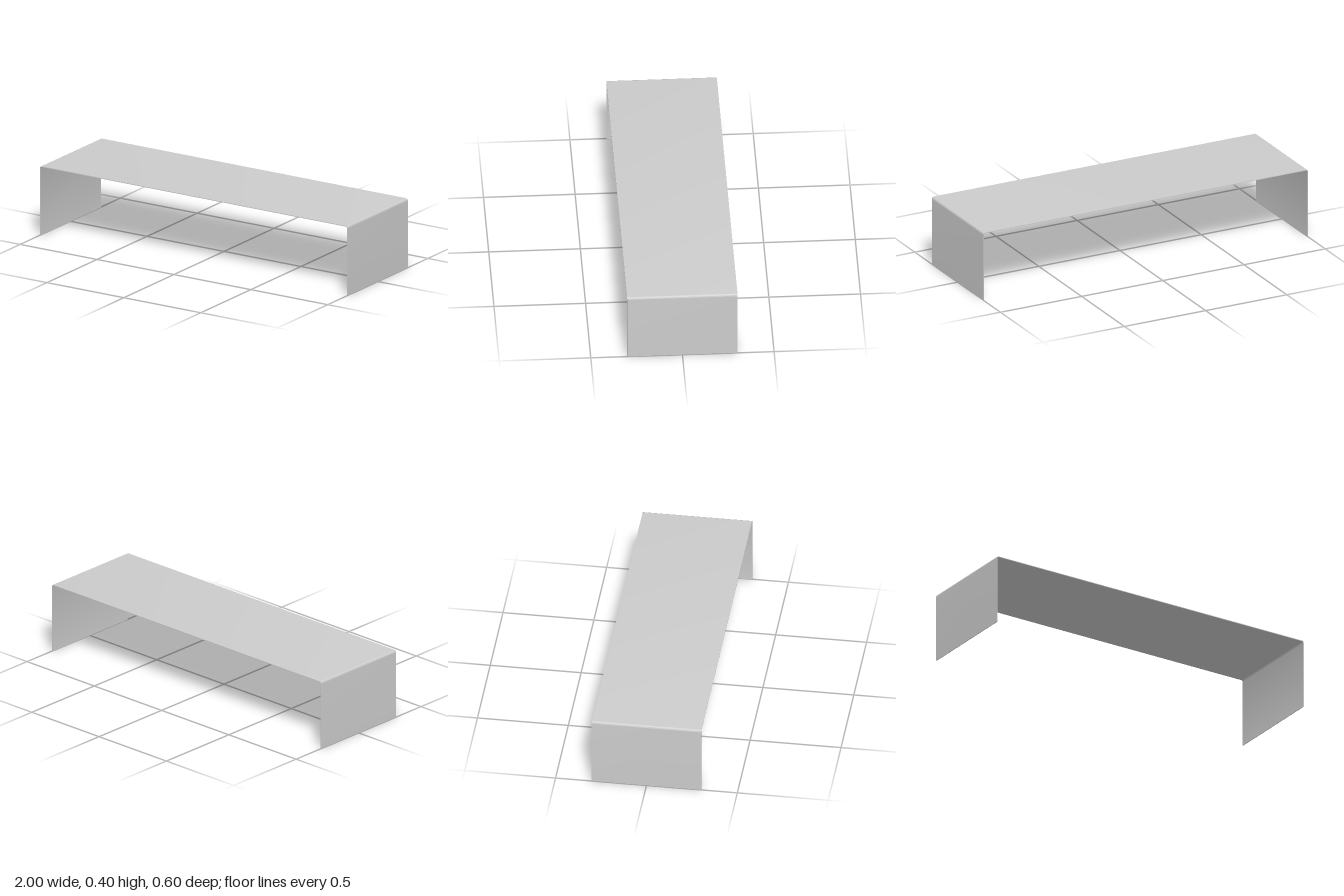
import * as THREE from 'three';
import { toCreasedNormals } from 'three/addons/utils/BufferGeometryUtils.js';

const HALF = 1, HEIGHT = 0.395, DEPTH = 0.602, THICK = 0.004, BEND = 0.012;

// Bent-sheet profile: two legs and a top joined by small rounded bends
function sheetProfile() {
  const inX = HALF - THICK, inY = HEIGHT - THICK;
  const cx = HALF - BEND, cy = HEIGHT - BEND, inner = BEND - THICK;
  const s = new THREE.Shape();
  s.moveTo(HALF, 0);
  s.lineTo(HALF, cy);
  s.absarc(cx, cy, BEND, 0, Math.PI / 2, false);
  s.lineTo(-cx, HEIGHT);
  s.absarc(-cx, cy, BEND, Math.PI / 2, Math.PI, false);
  s.lineTo(-HALF, 0);
  s.lineTo(-inX, 0);
  s.lineTo(-inX, cy);
  s.absarc(-cx, cy, inner, Math.PI, Math.PI / 2, true);
  s.lineTo(cx, inY);
  s.absarc(cx, cy, inner, Math.PI / 2, 0, true);
  s.lineTo(inX, 0);
  s.closePath();
  return s;
}

export function createModel() {
  const group = new THREE.Group();
  group.name = 'bentSheetRiser';

  const geometry = new THREE.ExtrudeGeometry(sheetProfile(), {
    depth: DEPTH, bevelEnabled: false, curveSegments: 8,
  });
  geometry.translate(0, 0, -DEPTH / 2);

  // One continuous folded sheet: top panel with a leg at each end
  const sheet = new THREE.Mesh(
    toCreasedNormals(geometry, Math.PI / 6),
    new THREE.MeshStandardMaterial({ color: 0xcccccc })
  );
  sheet.name = 'foldedSheet';
  group.add(sheet);
  return group;
}
